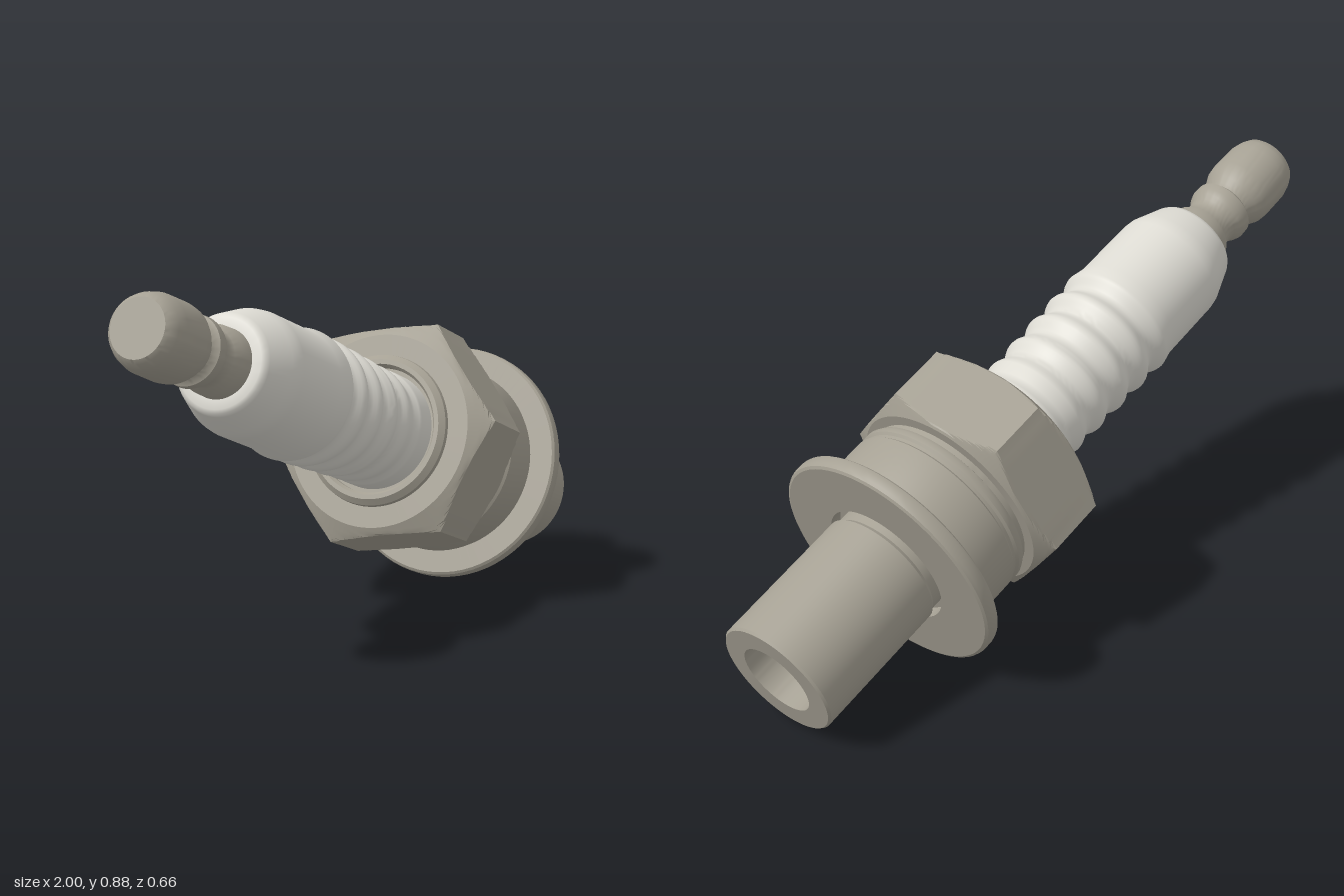
import * as THREE from 'three';
import { toCreasedNormals } from 'three/addons/utils/BufferGeometryUtils.js';

const SEGMENTS = 72;

export function createModel() {
  const metal = new THREE.MeshStandardMaterial({ color: 0xa6a194 });
  metal.name = 'warm grey metal';
  const ceramic = new THREE.MeshStandardMaterial({ color: 0xdedcd4 });
  ceramic.name = 'off-white ceramic';

  const model = new THREE.Group();
  model.name = 'sparkPlug';
  const body = new THREE.Group();
  body.name = 'plugBody';
  model.add(body);

  // Turned part from [radius, distance along the axis] pairs
  function turned(name, profile, material, crease = 0.5, reshape) {
    const points = profile.map(([r, s]) => new THREE.Vector2(r, s));
    const geo = new THREE.LatheGeometry(points, SEGMENTS);
    if (reshape) reshape(geo.attributes.position);
    const mesh = new THREE.Mesh(toCreasedNormals(geo, crease), material);
    mesh.name = name;
    body.add(mesh);
    return mesh;
  }

  // Terminal nut with a rounded head, a thin ring and a flared foot
  turned('terminal', [
    [0, 0], [0.07, 0], [0.079, 0.008], [0.088, 0.028], [0.094, 0.055], [0.095, 0.13],
    [0.092, 0.155], [0.083, 0.175], [0.072, 0.19], [0.069, 0.2], [0.074, 0.207],
    [0.084, 0.213], [0.085, 0.235], [0.08, 0.25], [0.071, 0.262], [0.068, 0.28],
    [0.071, 0.3], [0.083, 0.315], [0.085, 0.37],
  ], metal, 0.7);

  // Ceramic insulator: tapered nose, plain barrel, then rounded ribs
  const insulator = [
    [0.08, 0.355], [0.108, 0.355], [0.117, 0.36], [0.123, 0.37],
    [0.146, 0.435], [0.152, 0.452], [0.155, 0.475], [0.156, 0.66],
  ];
  const ribStart = 0.7, pitch = 0.086, steps = 10;
  for (let i = 0; i <= 4 * steps; i++) {
    const t = i / steps;
    const wave = 0.5 + 0.5 * Math.cos(t * Math.PI * 2);
    insulator.push([0.143 - 0.001 * t + 0.021 * wave - 0.002 * t * wave, ribStart + pitch * t]);
  }
  insulator.push([0.143, 1.075], [0.143, 1.09], [0.15, 1.1], [0.152, 1.11], [0.152, 1.19]);
  turned('insulator', insulator, ceramic, 0.7);

  // Crimped collar around the foot of the insulator
  turned('crimpCollar', [
    [0.163, 1.18], [0.163, 1.152], [0.17, 1.142], [0.182, 1.142], [0.196, 1.155], [0.2, 1.18],
  ], metal);

  // Hexagon: a round chamfered blank cut back to six flats
  const corner = 0.312;
  const blank = [[0.15, 1.166], [0.252, 1.166]];
  for (let i = 1; i <= 8; i++) blank.push([0.252 + 0.0075 * i, 1.166 + 0.0046 * i]);
  for (let i = 8; i >= 0; i--) blank.push([0.262 + 0.00625 * i, 1.39 - 0.0036 * i]);
  blank.push([0.15, 1.39]);
  const hexagon = turned('hexNut', blank, metal, 0.3, (pos) => {
    for (let i = 0; i < pos.count; i++) {
      const x = pos.getX(i), z = pos.getZ(i), r = Math.hypot(x, z);
      const a = Math.atan2(x, z), sector = Math.PI / 3;
      const offset = a - sector * Math.floor(a / sector) - sector / 2;
      const k = Math.min(1, corner * Math.cos(Math.PI / 6) / Math.cos(offset) / r);
      pos.setXYZ(i, x * k, pos.getY(i), z * k);
    }
  });
  hexagon.rotation.y = THREE.MathUtils.degToRad(-12);

  // Grooved shell below the hexagon
  turned('shell', [
    [0.235, 1.38], [0.235, 1.405], [0.245, 1.41], [0.25, 1.42], [0.25, 1.432],
    [0.244, 1.438], [0.244, 1.447], [0.25, 1.453], [0.25, 1.57], [0.244, 1.59],
  ], metal);

  // Wide sealing washer with a clearance hole
  turned('washer', [
    [0.172, 1.59], [0.306, 1.59], [0.312, 1.595], [0.314, 1.602], [0.314, 1.622],
    [0.311, 1.63], [0.304, 1.634], [0.172, 1.634], [0.172, 1.59],
  ], metal);

  // Hollow barrel with a necked root and a blind bore
  turned('barrel', [
    [0.2, 1.6], [0.154, 1.6], [0.154, 1.645], [0.162, 1.655], [0.162, 2.03], [0.157, 2.036],
    [0.099, 2.036], [0.099, 1.575], [0, 1.575],
  ], metal);

  // Lay the plug along its tilted axis
  const axis = new THREE.Vector3(1.923, -0.635, -0.225).normalize();
  const side = new THREE.Vector3(0, 0, 1).addScaledVector(axis, -axis.z).normalize();
  const across = new THREE.Vector3().crossVectors(axis, side);
  body.quaternion.setFromRotationMatrix(new THREE.Matrix4().makeBasis(across, axis, side));
  body.position.set(-0.975, 0.805, 0.165);
  return model;
}
